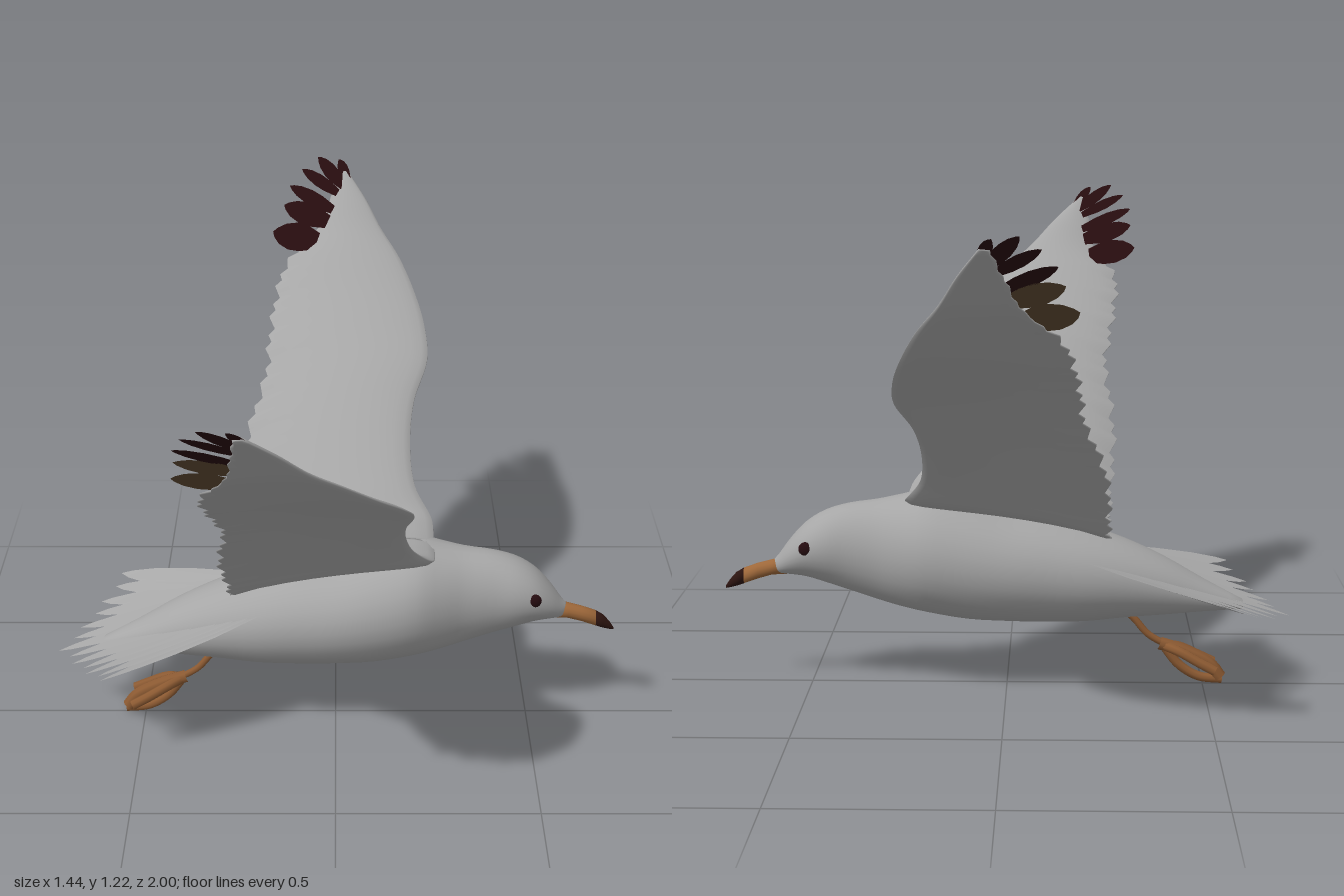
import * as THREE from 'three';

const V = (x, y, z) => new THREE.Vector3(x, y, z);
const mat = (name, color, side = THREE.FrontSide) => {
  const m = new THREE.MeshStandardMaterial({ color, side });
  m.name = name;
  return m;
};

// Skin over closed cross-sections, with capped ends
function loft(rings, flip = false) {
  const n = rings[0].length, pos = [], idx = [];
  const tri = (a, b, c) => (flip ? idx.push(a, c, b) : idx.push(a, b, c));
  rings.forEach((r) => r.forEach((p) => pos.push(p.x, p.y, p.z)));
  for (let i = 0; i < rings.length - 1; i++) {
    for (let j = 0; j < n; j++) {
      const a = i * n + j, b = i * n + ((j + 1) % n);
      tri(a, b, a + n);
      tri(b, b + n, a + n);
    }
  }
  [0, rings.length - 1].forEach((i) => {
    const c = rings[i].reduce((s, p) => s.add(p), V(0, 0, 0)).divideScalar(n);
    const k = pos.push(c.x, c.y, c.z) / 3 - 1;
    for (let j = 0; j < n; j++) {
      const a = i * n + j, b = i * n + ((j + 1) % n);
      if (i === 0) tri(k, b, a);
      else tri(k, a, b);
    }
  });
  const g = new THREE.BufferGeometry();
  g.setAttribute('position', new THREE.Float32BufferAttribute(pos, 3));
  g.setIndex(idx);
  g.computeVertexNormals();
  return g;
}

// Oval sections along x from rows of [x, top, bottom, halfWidth]
function ovals(rows, sides) {
  return rows.map(([x, top, bot, w]) => Array.from({ length: sides }, (_, j) => {
    const a = (j / sides) * Math.PI * 2;
    return V(x, (top + bot) / 2 + ((top - bot) / 2) * Math.cos(a), w * Math.sin(a));
  }));
}

// Round rows out into a smooth run of sections
function smoothRows(rows, count) {
  const c1 = new THREE.CatmullRomCurve3(rows.map((r) => V(r[0], r[1], r[2])), false, 'catmullrom');
  const c2 = new THREE.CatmullRomCurve3(rows.map((r) => V(r[0], r[3], 0)), false, 'catmullrom');
  return Array.from({ length: count + 1 }, (_, i) => {
    const p = c1.getPoint(i / count), q = c2.getPoint(i / count);
    return [p.x, p.y, p.z, q.y];
  });
}

// Flat feather drawn in plan (x, z), then bent onto a surface by place(x, z)
function feather(bx, bz, tx, tz, w, place, flip = false) {
  const d = new THREE.Vector2(tx - bx, tz - bz);
  const n = new THREE.Vector2(-d.y, d.x).normalize().multiplyScalar(w);
  const at = (t, k) => new THREE.Vector2(bx + d.x * t + n.x * k, bz + d.y * t + n.y * k);
  const steps = [[0, 0.6], [0.3, 0.95], [0.55, 1], [0.78, 0.75], [0.93, 0.35]];
  const pts = [...steps.map(([t, k]) => at(t, -k)), at(1, 0), ...steps.map(([t, k]) => at(t, k)).reverse()];
  const g = new THREE.ShapeGeometry(new THREE.Shape(pts));
  const p = g.attributes.position;
  for (let i = 0; i < p.count; i++) {
    const q = place(p.getX(i), p.getY(i));
    p.setXYZ(i, q.x, q.y, q.z);
  }
  if (flip) g.index.array.reverse();
  g.computeVertexNormals();
  return g;
}

export function createModel() {
  const plumage = mat('white plumage', 0xa6a6a6);
  const tailMat = mat('tail plumage', 0xa8a8a8, THREE.DoubleSide);
  const tipMat = mat('dark wing tip', 0x270c0e);
  const underMat = mat('brown wing tip underside', 0x594630);
  const beakMat = mat('orange beak', 0x9e683a);
  const beakTipMat = mat('dark beak tip', 0x2c1410);
  const legMat = mat('orange brown leg', 0x8c5a32);
  const eyeMat = mat('dark eye', 0x260c10);

  const model = new THREE.Group();
  model.name = 'flyingSeabird';
  const add = (name, geo, m, parent = model) => {
    const mesh = new THREE.Mesh(geo, m);
    mesh.name = name;
    parent.add(mesh);
    return mesh;
  };

  // Body and head in one smooth skin
  add('body', loft(ovals(smoothRows([
    [-0.6, 0.222, 0.198, 0.02], [-0.5, 0.275, 0.192, 0.055], [-0.4, 0.332, 0.184, 0.088],
    [-0.3, 0.378, 0.177, 0.115], [-0.2, 0.412, 0.167, 0.137], [-0.1, 0.437, 0.165, 0.15],
    [0, 0.455, 0.167, 0.16], [0.1, 0.482, 0.172, 0.162], [0.2, 0.502, 0.188, 0.153],
    [0.27, 0.49, 0.203, 0.125], [0.33, 0.478, 0.22, 0.1], [0.4, 0.468, 0.243, 0.088],
    [0.46, 0.45, 0.263, 0.086], [0.51, 0.42, 0.278, 0.076], [0.55, 0.378, 0.283, 0.056],
    [0.58, 0.337, 0.285, 0.03], [0.595, 0.32, 0.29, 0.012],
  ], 48), 28)), plumage);

  // Beak with dark tip
  add('beak', loft(ovals([[0.56, 0.33, 0.282, 0.024], [0.6, 0.32, 0.28, 0.022],
    [0.635, 0.311, 0.27, 0.019], [0.672, 0.298, 0.257, 0.018]], 14)), beakMat);
  add('beakTip', loft(ovals([[0.672, 0.298, 0.257, 0.018], [0.692, 0.286, 0.25, 0.014],
    [0.708, 0.268, 0.246, 0.009], [0.72, 0.25, 0.244, 0.002]], 14)), beakTipMat);

  // Eyes
  for (const s of [1, -1]) {
    const eye = add(s > 0 ? 'rightEye' : 'leftEye', new THREE.SphereGeometry(0.018, 14, 10), eyeMat);
    eye.position.set(0.506, 0.362, s * 0.071);
    eye.scale.z = 0.6;
  }

  // Tail fan, its corners lifted
  const tail = new THREE.Group();
  tail.name = 'tail';
  model.add(tail);
  for (let i = -6; i <= 6; i++) {
    const u = i / 6, a = Math.abs(u);
    const lift = 0.002 * (6 - Math.abs(i)) - 0.006;
    const tipX = -0.722 + 0.14 * a + (i % 2 ? 0.012 : 0);
    add('tailFeather', feather(-0.2, u * 0.1, tipX, u * 0.3, 0.036,
      (x, z) => V(x, 0.174 + (x + 0.72) * 0.32 + z * z * 0.5 + lift, z)), tailMat, tail);
  }

  // Wing edges, each row [z, leading x, leading y, trailing x, trailing y]
  const rows = [
    [0, 0.25, 0.485, -0.25, 0.395], [0.06, 0.25, 0.49, -0.262, 0.398], [0.13, 0.242, 0.503, -0.27, 0.41],
    [0.2, 0.195, 0.56, -0.275, 0.472], [0.3, 0.17, 0.642, -0.285, 0.565], [0.4, 0.165, 0.722, -0.28, 0.66],
    [0.5, 0.18, 0.797, -0.265, 0.752], [0.6, 0.15, 0.86, -0.28, 0.832], [0.7, 0.095, 0.925, -0.295, 0.905],
    [0.79, 0.025, 0.995, -0.295, 0.977], [0.86, -0.05, 1.058, -0.235, 1.045],
    [0.92, -0.115, 1.125, -0.22, 1.115], [0.975, -0.185, 1.187, -0.21, 1.183],
  ];
  const lead = new THREE.CatmullRomCurve3(rows.map((r) => V(r[1], r[2], r[0])));
  const trail = new THREE.CatmullRomCurve3(rows.map((r) => V(r[3], r[4], r[0])));
  const N = 72, M = 10;

  for (const s of [1, -1]) {
    const wing = new THREE.Group();
    wing.name = s > 0 ? 'rightWing' : 'leftWing';
    model.add(wing);
    // the far wing is swept a little further forward
    const put = (p) => V(p.x + (s < 0 ? 0.23 * Math.pow(Math.max(p.z, 0), 1.8) : 0), p.y, s * p.z);
    const rings = [];
    for (let i = 0; i <= N; i++) {
      const t = i / N, L = lead.getPoint(t), T = trail.getPoint(t);
      const chord = T.clone().sub(L);
      const up = chord.clone().cross(lead.getTangent(t)).normalize();
      const thick = 0.042 * (1 - t) + 0.007, bow = 0.048 * chord.length();
      const ragged = 0.005 * ((i * 3) % 5) * (t < 0.8 ? 1 : 0.4);
      const point = (u, side) => {
        const p = L.clone().addScaledVector(chord, u).addScaledVector(up,
          bow * 4 * u * (1 - u) + side * (thick * Math.sqrt(u) * (1 - u) * 1.3 + 0.002));
        p.x += ragged * u ** 8; // only the trailing edge is ragged
        return put(p);
      };
      const ring = [];
      for (let j = 0; j <= M; j++) ring.push(point((j / M) ** 1.5, 1));
      for (let j = M; j >= 0; j--) ring.push(point((j / M) ** 1.5, -1));
      rings.push(ring);
    }
    add('wingSurface', loft(rings, s < 0), plumage, wing);

    // Dark primaries, the inner ones brown underneath
    [[-0.215, 0.825, -0.345, 0.845, 0.028], [-0.2, 0.865, -0.335, 0.9, 0.022], [-0.195, 0.89, -0.335, 0.94, 0.014],
      [-0.195, 0.925, -0.315, 0.975, 0.012], [-0.185, 0.94, -0.28, 1.0, 0.014], [-0.175, 0.95, -0.22, 0.995, 0.012],
    ].forEach(([bx, bz, tx, tz, w], k) => {
      for (const face of [1, -1]) {
        const place = (x, z) => put(V(x, 0.998 + (z - 0.8) * 1.1 + face * 0.004, z));
        add(face > 0 ? 'primaryTop' : 'primaryUnderside', feather(bx, bz, tx, tz, w, place, s * face > 0),
          face < 0 && k < 2 ? underMat : tipMat, wing);
      }
    });
  }

  // Trailing leg and curled toes
  const legs = new THREE.Group();
  legs.name = 'legs';
  model.add(legs);
  const tube = (name, r, pts) => add(name, new THREE.TubeGeometry(
    new THREE.CatmullRomCurve3(pts.map((p) => V(...p))), 20, r, 8), legMat, legs);
  tube('leg', 0.009, [[-0.27, 0.21, 0], [-0.32, 0.175, 0], [-0.36, 0.13, 0], [-0.41, 0.1, 0]]);
  tube('middleToe', 0.017, [[-0.39, 0.106, 0], [-0.45, 0.086, 0], [-0.52, 0.05, 0], [-0.545, 0.018, 0]]);
  tube('lowerToe', 0.012, [[-0.4, 0.1, 0], [-0.44, 0.05, 0], [-0.49, 0.02, 0], [-0.55, 0.013, 0]]);
  for (const s of [1, -1]) {
    tube('sideToe', 0.013, [[-0.4, 0.1, 0], [-0.44, 0.09, s * 0.028], [-0.49, 0.065, s * 0.042], [-0.53, 0.045, s * 0.048]]);
  }
  return model;
}
